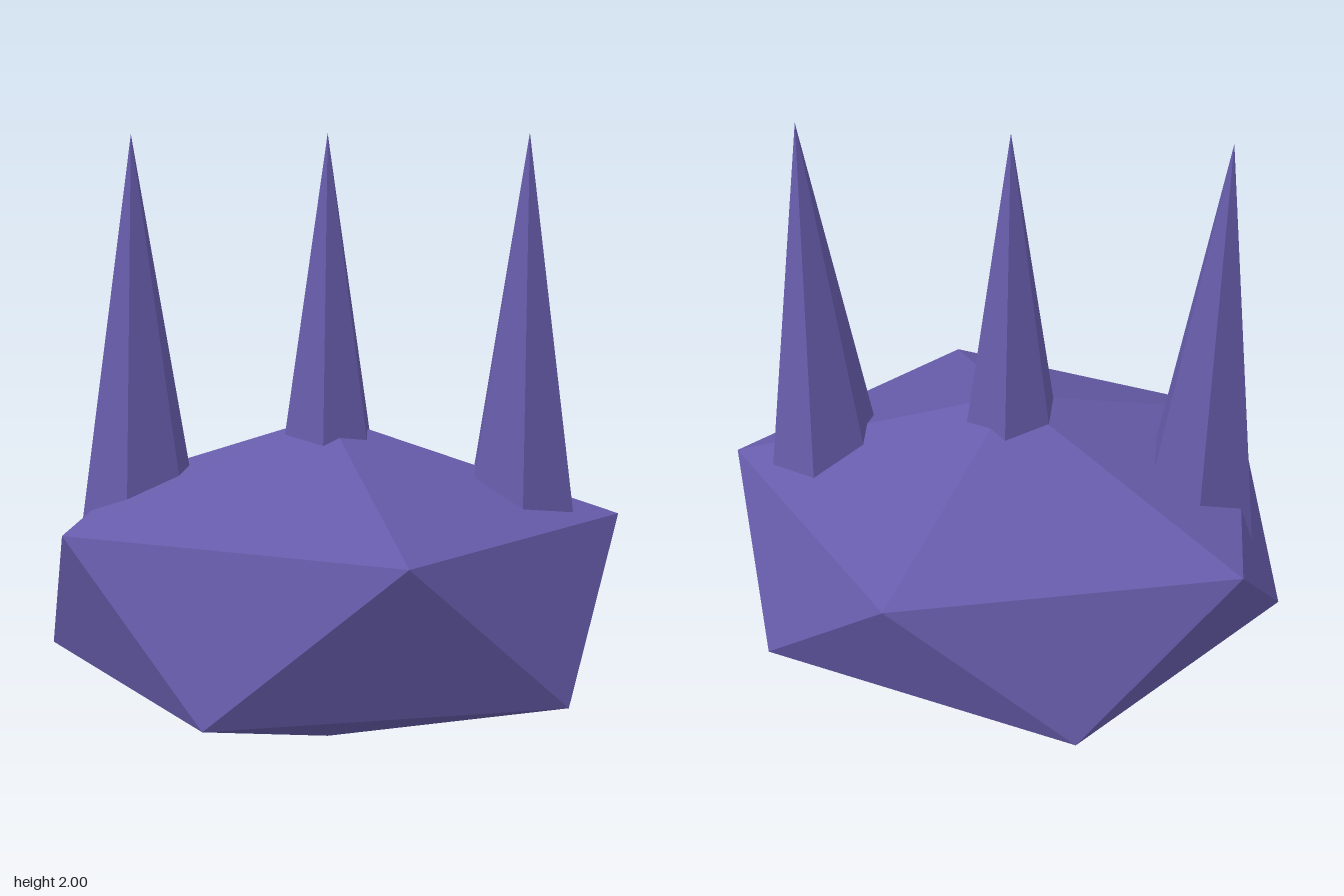
import * as THREE from 'three';
import { ConvexGeometry } from 'three/addons/geometries/ConvexGeometry.js';

export function createModel() {
  const model = new THREE.Group();
  model.name = 'spikedRock';

  const purple = new THREE.MeshStandardMaterial({ color: 0x675cab, flatShading: true });
  purple.name = 'dusty purple';

  // Body: a squashed icosahedron standing on its lowest corner
  const radiusX = 0.943, radiusZ = 0.768;
  const points = [new THREE.Vector3(0, 0, 0), new THREE.Vector3(0, 1.105, 0)];
  for (let i = 0; i < 10; i++) {
    const angle = (i * Math.PI) / 5;
    const y = i % 2 ? 0.306 : 0.799; // upper and lower rings alternate
    points.push(new THREE.Vector3(radiusX * Math.cos(angle), y, radiusZ * Math.sin(angle)));
  }
  const body = new THREE.Mesh(new ConvexGeometry(points), purple);
  body.name = 'body';
  model.add(body);

  // Three six-sided spikes in a row, sunk into the body
  const base = 0.434, tip = 2;
  const spikeGeometry = new THREE.ConeGeometry(0.25, tip - base, 6);
  [['rightSpike', -0.627], ['middleSpike', 0], ['leftSpike', 0.627]].forEach(([name, x]) => {
    const spike = new THREE.Mesh(spikeGeometry, purple);
    spike.name = name;
    spike.position.set(x, (base + tip) / 2, 0);
    model.add(spike);
  });

  return model;
}
